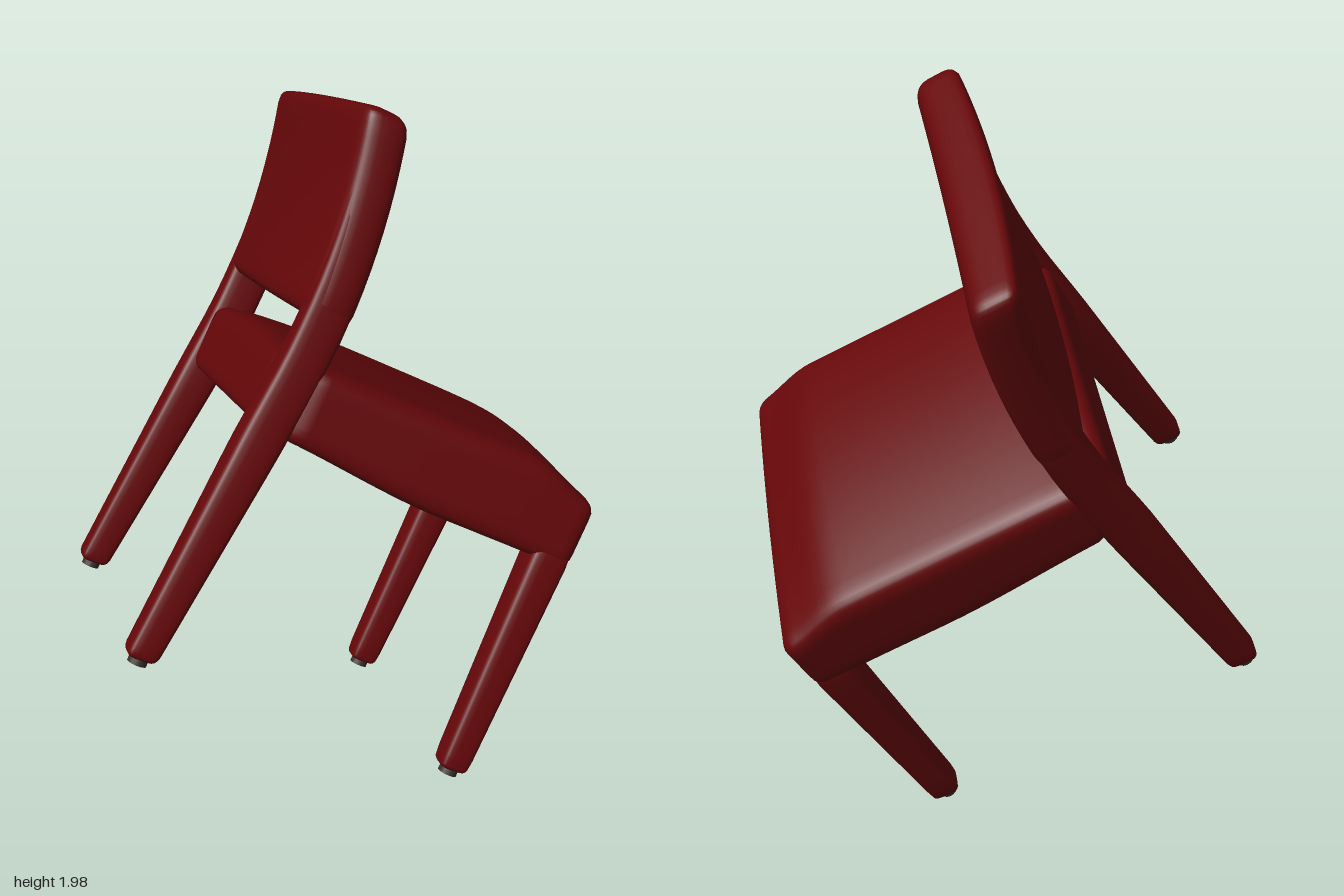
import * as THREE from 'three';
import { mergeVertices } from 'three/addons/utils/BufferGeometryUtils.js';

const { lerp, smoothstep } = THREE.MathUtils;

// Piecewise linear lookup in a list of [position, value] pairs
function along(table, t) {
  for (let i = 1; i < table.length; i++) {
    const [a, va] = table[i - 1], [b, vb] = table[i];
    if (t <= b) return lerp(va, vb, Math.max(0, (t - a) / (b - a)));
  }
  return table[table.length - 1][1];
}

// Smooth rounded block centred on the origin, then bent by a rule
function softBlock(w, h, d, r, segments, warp) {
  const geo = new THREE.BoxGeometry(2, 2, 2, ...segments);
  geo.deleteAttribute('uv');
  geo.deleteAttribute('normal');
  const pos = geo.attributes.position;
  const half = new THREE.Vector3(w / 2, h / 2, d / 2);
  const inner = half.clone().subScalar(r);
  const p = new THREE.Vector3(), core = new THREE.Vector3();
  const ease = (t) => Math.sin(t * Math.PI / 2);
  for (let i = 0; i < pos.count; i++) {
    p.fromBufferAttribute(pos, i);
    p.set(ease(p.x), ease(p.y), ease(p.z)).multiply(half);
    core.copy(p).clamp(inner.clone().negate(), inner);
    p.sub(core).setLength(r).add(core);
    warp(p);
    pos.setXYZ(i, p.x, p.y, p.z);
  }
  const merged = mergeVertices(geo, 1e-5);
  merged.computeVertexNormals();
  return merged;
}

// Depth of the rear posts: rising forward, then sweeping back
const postZ = (y) => 0.46 - 0.097 * y + 0.26 * Math.max(0, y - 0.8) ** 2;

export function createModel() {
  const red = new THREE.MeshStandardMaterial({ color: 0x650709 });
  red.name = 'dark red';
  const grey = new THREE.MeshStandardMaterial({ color: 0x38302d });
  grey.name = 'dark grey';

  // Chair upright in its own frame: front is -z, floor at y = 0
  const chair = new THREE.Group();
  chair.name = 'chair';
  const add = (name, geo, material, x = 0, y = 0, z = 0) => {
    const mesh = new THREE.Mesh(geo, material);
    mesh.name = name;
    mesh.position.set(x, y, z);
    chair.add(mesh);
  };

  // Seat: crowned cushion with a dropped front edge, narrowed to pass between the posts
  add('seat', softBlock(0.97, 0.24, 0.955, 0.045, [28, 12, 40], (p) => {
    const u = p.x / 0.485, v = p.z / 0.4775;
    const upper = (p.y + 0.12) / 0.24;
    p.y += 0.75 + upper * (0.045 * (1 - u * u) * (1 - 0.7 * v ** 4) - 0.05 * smoothstep(-v, 0.55, 1));
    p.y += (1 - upper) * 0.04 * smoothstep(v, -0.2, 1);
    p.z -= 0.0425;
    p.x *= 1 - 0.02 * (v + 1) / 2 - 0.14 * smoothstep(p.z, 0.33, 0.38);
  }), red);

  // Backrest: padded panel wrapping the posts, its back bowed outward
  add('backrest', softBlock(0.96, 0.54, 0.125, 0.04, [24, 16, 10], (p) => {
    const u = p.x / 0.48, rear = (p.z + 0.0625) / 0.125;
    p.y += 1.245;
    p.z += postZ(p.y) - 0.005 + lerp(0.005, 0.025, rear) * (1 - u * u);
  }), red);

  // Rear posts and front legs, mirrored
  const postWidth = [[0, 0.082], [0.6, 0.106], [0.95, 0.088], [1.5, 0.08]];
  const postDepth = [[0, 0.085], [0.65, 0.12], [0.98, 0.12], [1.5, 0.1]];
  const postX = [[0, 0.445], [0.65, 0.428], [0.98, 0.435], [1.5, 0.433]];
  for (const side of [1, -1]) {
    add('rearPost', softBlock(0.1, 1.485, 0.1, 0.025, [8, 36, 8], (p) => {
      const y = p.y + 0.7575;
      p.set(p.x * along(postWidth, y) / 0.1 + side * along(postX, y), y,
        p.z * along(postDepth, y) / 0.1 + postZ(y));
    }), red);
    add('frontLeg', softBlock(0.1, 0.66, 0.1, 0.025, [8, 12, 8], (p) => {
      const y = p.y + 0.345, k = lerp(0.83, 1.12, y / 0.65);
      p.set(p.x * k + side * lerp(0.445, 0.427, y / 0.65), y, p.z * k - 0.457);
    }), red);
    for (const z of [0.458, -0.457]) {
      add('footGlide', new THREE.CylinderGeometry(0.026, 0.026, 0.03, 16), grey, side * 0.445, 0.015, z);
    }
  }

  // Tilt the whole chair
  const x = new THREE.Vector3(0.837, 0.318, 0.446).normalize();
  const y = new THREE.Vector3(-0.01, 0.823, -0.567);
  const z = new THREE.Vector3().crossVectors(x, y).normalize();
  y.crossVectors(z, x);
  chair.quaternion.setFromRotationMatrix(new THREE.Matrix4().makeBasis(x, y, z));

  // Stand it on y = 0, centred
  const group = new THREE.Group();
  group.name = 'tiltedChair';
  group.add(chair);
  group.updateMatrixWorld(true);
  const box = new THREE.Box3().setFromObject(group, true);
  const c = box.getCenter(new THREE.Vector3());
  chair.position.set(-c.x, -box.min.y, -c.z);
  return group;
}
